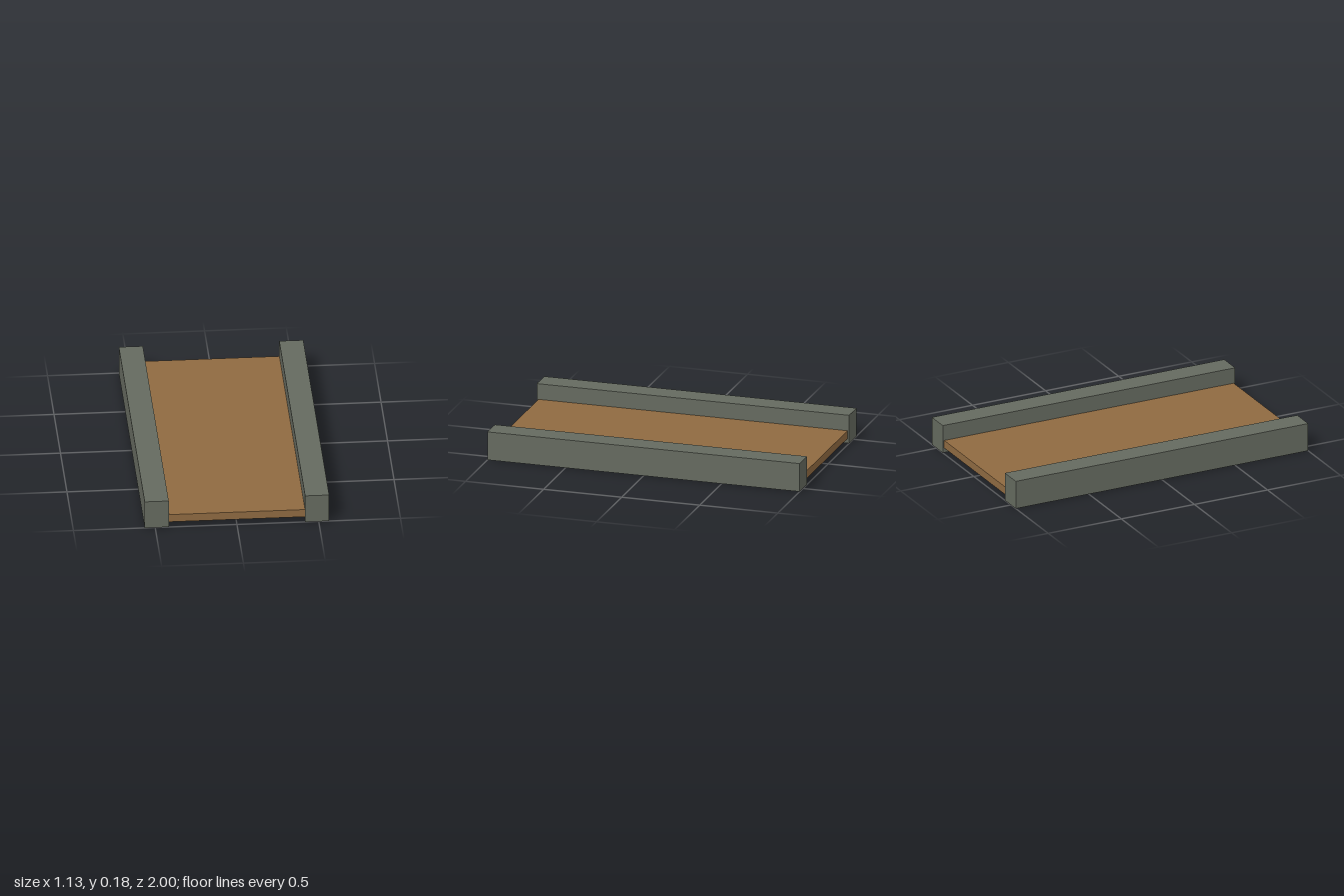
import * as THREE from 'three';

export function createModel() {
  const stone = new THREE.MeshStandardMaterial({ name: 'greyStone', color: 0x656a5f });
  const wood = new THREE.MeshStandardMaterial({ name: 'brownWood', color: 0x8f6a41 });
  const model = new THREE.Group();
  model.name = 'walkway';

  const addBox = (name, material, size, position) => {
    const mesh = new THREE.Mesh(new THREE.BoxGeometry(...size), material);
    mesh.name = name;
    mesh.position.set(...position);
    model.add(mesh);
  };

  // Thin deck, raised off the ground and slightly shorter than the kerbs
  addBox('deck', wood, [0.84, 0.05, 1.98], [0, 0.055, 0]);

  // Matching kerbs along both sides
  for (const [name, side] of [['leftKerb', 1], ['rightKerb', -1]]) {
    addBox(name, stone, [0.147, 0.18, 2], [side * 0.4905, 0.09, 0]);
  }

  return model;
}
